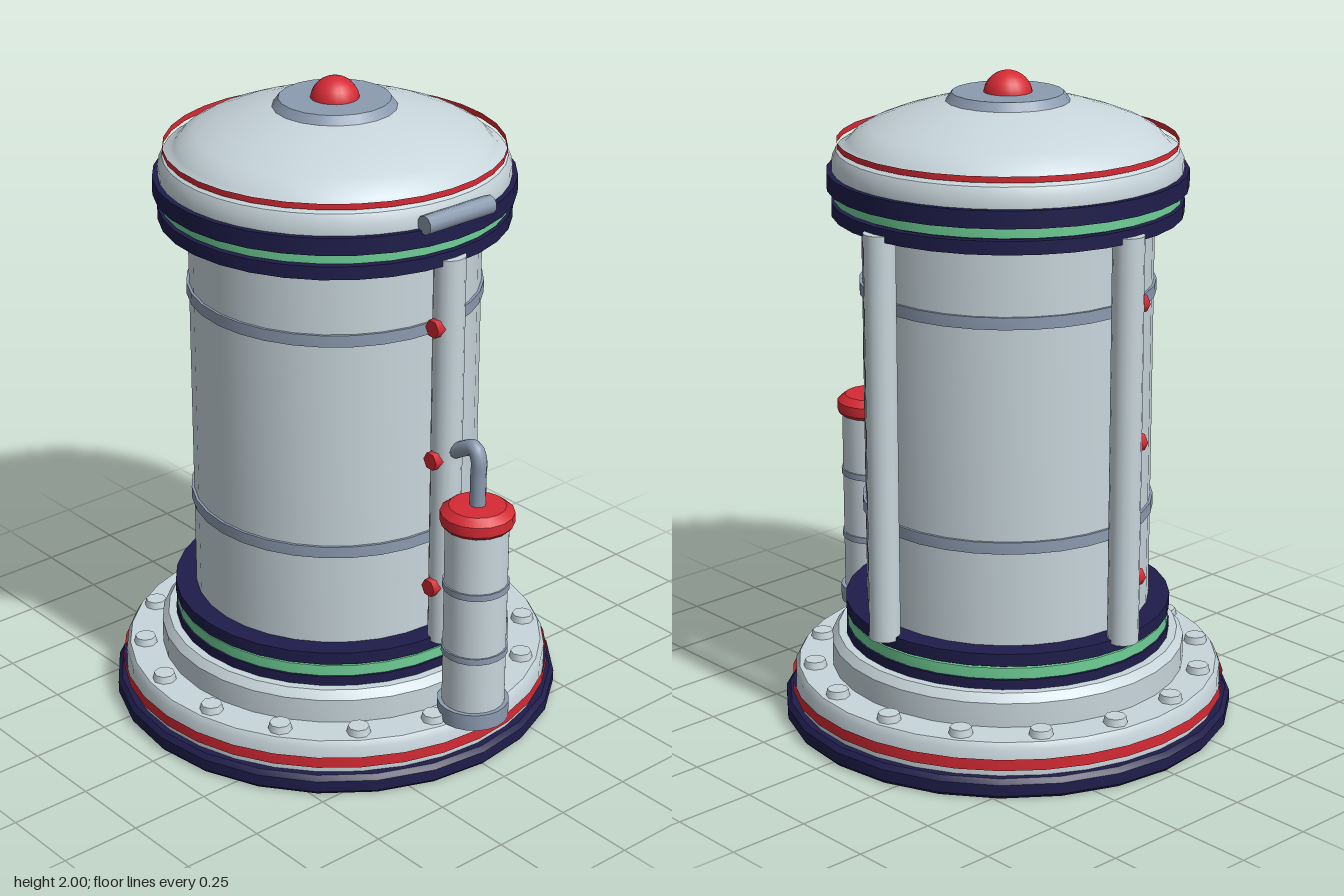
import * as THREE from 'three';
import { toCreasedNormals } from 'three/addons/utils/BufferGeometryUtils.js';

export function createModel() {
  const paint = (name, color) => new THREE.MeshStandardMaterial({ name, color, side: THREE.DoubleSide });
  const light = paint('light grey', 0xc8d6dc);
  const steel = paint('blue grey', 0x8c9bb0);
  const navy = paint('navy', 0x1f1d4b);
  const red = paint('red', 0xd62a34);
  const green = paint('green', 0x6fcf97);

  const model = new THREE.Group();
  model.name = 'tankChamber';
  const chamber = new THREE.Group();
  chamber.name = 'chamber';
  chamber.position.x = -0.03;
  model.add(chamber);

  const add = (parent, name, geometry, material, x = 0, y = 0, z = 0) => {
    const mesh = new THREE.Mesh(geometry, material);
    mesh.name = name;
    mesh.position.set(x, y, z);
    parent.add(mesh);
    return mesh;
  };
  // Turned part from [radius, height] points
  const turned = (parent, name, material, points, sides = 32) => {
    const lathe = new THREE.LatheGeometry(points.map(([r, y]) => new THREE.Vector2(r, y)), sides);
    return add(parent, name, toCreasedNormals(lathe, 0.6), material);
  };
  // Closed ring with rectangular section
  const ring = (parent, name, material, inner, outer, y0, y1, sides) =>
    turned(parent, name, material, [[inner, y0], [outer, y0], [outer, y1], [inner, y1], [inner, y0]], sides);
  const band = (parent, name, material, r, y0, y1, sides) =>
    turned(parent, name, material, [[r, y0], [r, y1]], sides);

  // Hollow foot
  turned(chamber, 'baseRim', navy,
    [[0.65, 0], [0.685, 0], [0.693, 0.01], [0.693, 0.045], [0.68, 0.06], [0.65, 0.06], [0.65, 0]], 24);
  turned(chamber, 'baseFlange', light,
    [[0.65, 0.05], [0.66, 0.06], [0.66, 0.14], [0.648, 0.16], [0.545, 0.16], [0.545, 0.235], [0.525, 0.26], [0.43, 0.26]]);
  band(chamber, 'baseStripe', red, 0.67, 0.08, 0.115);
  for (let i = 0; i < 16; i++) {
    const a = (i + 0.5) * Math.PI / 8;
    add(chamber, 'flangeBolt', new THREE.CylinderGeometry(0.032, 0.038, 0.03, 8), light,
      0.6 * Math.cos(a), 0.167, 0.6 * Math.sin(a));
  }

  // Lower collar
  ring(chamber, 'lowerCollarBottom', navy, 0.435, 0.5, 0.258, 0.29);
  ring(chamber, 'lowerCollarCore', navy, 0.435, 0.48, 0.285, 0.34);
  ring(chamber, 'lowerCollarStripe', green, 0.475, 0.496, 0.292, 0.326);
  ring(chamber, 'lowerCollarTop', navy, 0.435, 0.5, 0.333, 0.372);

  // Body, floor and hoops
  band(chamber, 'body', light, 0.435, 0.36, 1.6);
  turned(chamber, 'floorEdge', light, [[0.36, 0.385], [0.435, 0.385]]);
  turned(chamber, 'floor', green, [[0, 0.386], [0.36, 0.386]]);
  for (const y of [0.68, 1.36]) ring(chamber, 'bodyHoop', steel, 0.43, 0.443, y - 0.018, y + 0.018);

  // Three posts, the side ones with red studs
  for (const [x, z] of [[-0.5, 0], [0.5, 0], [0, -0.5]]) {
    add(chamber, 'post', new THREE.CylinderGeometry(0.047, 0.047, 1.24, 16), light, x, 0.98, z);
    if (x === 0) continue;
    for (const y of [0.55, 0.97, 1.39]) {
      add(chamber, 'postStud', new THREE.CylinderGeometry(0.028, 0.028, 0.03, 6), red, x, y, 0.05)
        .rotation.set(Math.PI / 2, Math.PI / 6, 0);
    }
  }

  // Upper collar
  ring(chamber, 'upperCollarBottom', navy, 0.43, 0.522, 1.582, 1.622);
  ring(chamber, 'upperCollarCore', navy, 0.43, 0.5, 1.61, 1.67);
  ring(chamber, 'upperCollarStripe', green, 0.49, 0.515, 1.628, 1.656);
  ring(chamber, 'upperCollarTop', navy, 0.43, 0.535, 1.66, 1.712);

  // Domed lid
  turned(chamber, 'lid', light, [
    [0.518, 1.71], [0.518, 1.745], [0.505, 1.772], [0.48, 1.785], [0.468, 1.797], [0.45, 1.817],
    [0.41, 1.84], [0.34, 1.868], [0.26, 1.893], [0.18, 1.912], [0.09, 1.925], [0, 1.927]], 40);
  band(chamber, 'lidStripe', red, 0.503, 1.783, 1.801);
  add(chamber, 'lidPlate', new THREE.CylinderGeometry(0.165, 0.183, 0.025, 20), steel, 0, 1.925, 0);
  add(chamber, 'beacon', new THREE.SphereGeometry(0.073, 20, 8, 0, Math.PI * 2, 0, Math.PI / 2), red, 0, 1.927, 0);
  add(chamber, 'lidHandle', new THREE.CylinderGeometry(0.028, 0.028, 0.25, 10), steel, 0.527, 1.73, 0)
    .rotation.x = Math.PI / 2;

  // Side bottle
  const bottle = new THREE.Group();
  bottle.name = 'sideBottle';
  bottle.position.x = 0.607;
  model.add(bottle);
  band(bottle, 'bottleBody', light, 0.095, 0.17, 0.81, 20);
  ring(bottle, 'bottleFoot', steel, 0.08, 0.108, 0.16, 0.212, 20);
  turned(bottle, 'bottleBottom', green, [[0, 0.165], [0.085, 0.165]], 20);
  for (const y of [0.39, 0.605]) ring(bottle, 'bottleHoop', steel, 0.09, 0.1, y - 0.01, y + 0.01, 20);
  turned(bottle, 'bottleCap', red,
    [[0, 0.8], [0.102, 0.8], [0.11, 0.81], [0.11, 0.842], [0.085, 0.862], [0, 0.865]], 16);

  // Bent feed pipe from the bottle to the post
  const path = new THREE.CatmullRomCurve3([
    [0, 0.85], [0, 0.95], [0, 1.01], [-0.018, 1.038], [-0.045, 1.03], [-0.1, 1.0], [-0.13, 0.99]
  ].map(([x, y]) => new THREE.Vector3(x, y, 0)));
  add(bottle, 'feedPipe', new THREE.TubeGeometry(path, 24, 0.024, 10), steel);

  return model;
}
